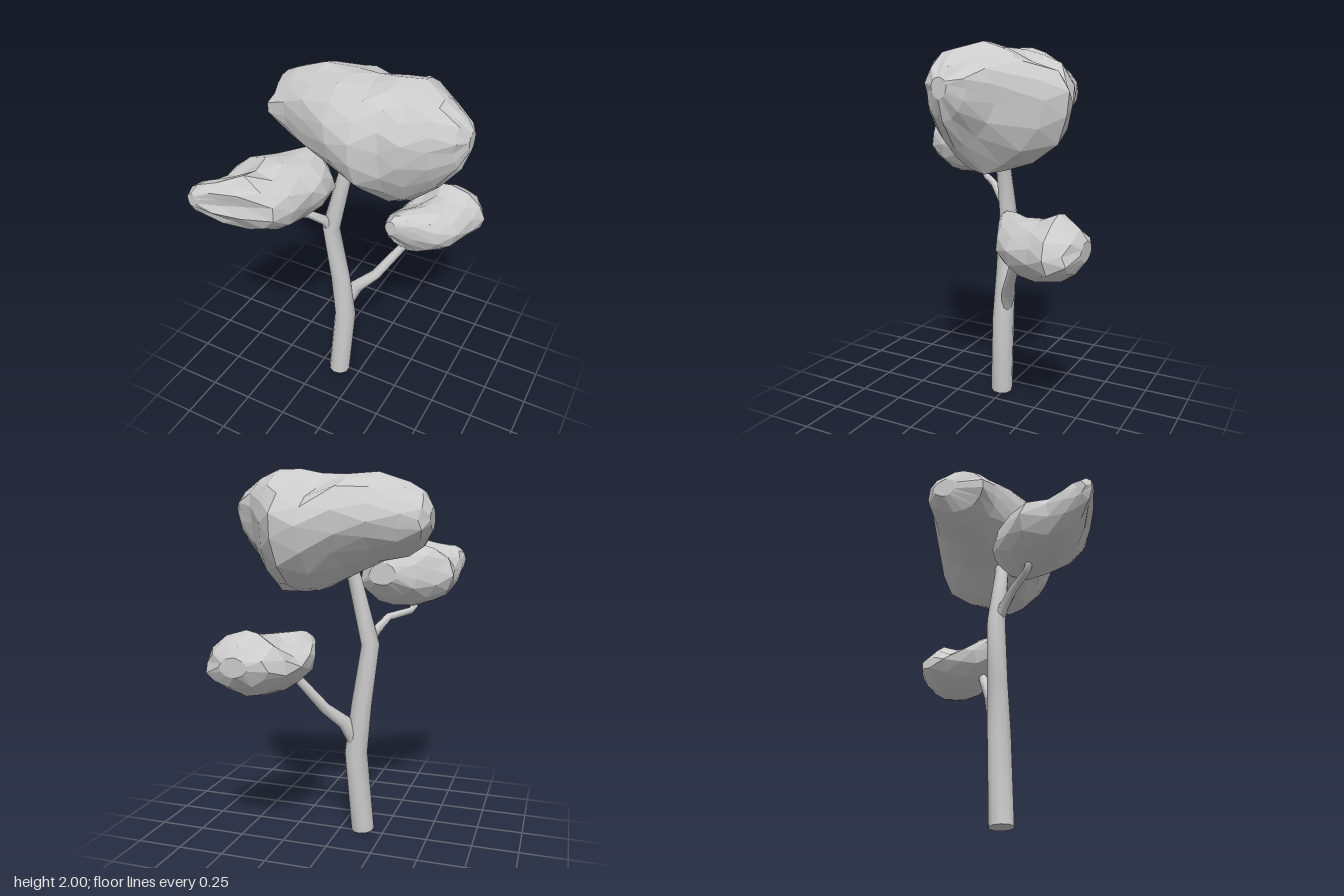
import * as THREE from 'three';
import { toCreasedNormals } from 'three/addons/utils/BufferGeometryUtils.js';

const barkMaterial = new THREE.MeshStandardMaterial({ color: 0xcccccc });
const leafMaterial = new THREE.MeshStandardMaterial({ color: 0xcccccc, flatShading: true });

// Repeatable noise in -1..1
function noise(n) {
  const s = Math.sin(n * 127.1 + 11.7) * 43758.5453;
  return (s - Math.floor(s)) * 2 - 1;
}

// Skins a list of equal rings and closes both ends
function skin(rings) {
  const n = rings[0].length;
  const last = rings.length - 1;
  const centre = (ring) => ring.reduce((sum, p) => sum.add(p), new THREE.Vector3()).divideScalar(n);
  const points = [...rings.flat(), centre(rings[0]), centre(rings[last])];
  const startPole = points.length - 2;
  const endPole = points.length - 1;
  const index = [];
  for (let j = 0; j < n; j++) {
    const k = (j + 1) % n;
    for (let i = 0; i < last; i++) {
      const a = i * n + j, b = i * n + k, c = a + n, d = b + n;
      if (i % 2) index.push(a, b, d, a, d, c);
      else index.push(a, b, c, b, d, c);
    }
    index.push(startPole, k, j, endPole, last * n + j, last * n + k);
  }
  const geometry = new THREE.BufferGeometry().setFromPoints(points);
  geometry.setIndex(index);
  geometry.computeVertexNormals();
  return geometry;
}

// Tapering limb through stations [x, y, z, radius]
function limb(name, stations, sides) {
  const path = stations.map(([x, y, z]) => new THREE.Vector3(x, y, z));
  const rings = stations.map(([, , , r], i) => {
    const before = path[Math.max(i - 1, 0)];
    const after = path[Math.min(i + 1, path.length - 1)];
    const t = after.clone().sub(before).normalize();
    const u = new THREE.Vector3(0.3, 0, 1).cross(t).normalize();
    const v = t.clone().cross(u);
    return Array.from({ length: sides }, (_, j) => {
      const angle = (j / sides) * Math.PI * 2;
      return path[i].clone()
        .addScaledVector(u, r * Math.cos(angle))
        .addScaledVector(v, r * Math.sin(angle));
    });
  });
  const mesh = new THREE.Mesh(toCreasedNormals(skin(rings), 1), barkMaterial);
  mesh.name = name;
  return mesh;
}

// Leaf mass from cross-sections along x or z:
// [position, side min, side max, side centre, bottom, top, centre height]
// pinch: powers above 1 make the min and max sides more pointed
// bumps: [x, z, height, radius] raise or dent the upper surface
function foliage(name, axis, sections, { seed, sides, pinch, bumps }) {
  const rings = sections.map(([s, min, max, mid, bottom, top, cy], i) =>
    Array.from({ length: sides }, (_, j) => {
      const angle = ((j + (i % 2) * 0.5) / sides) * Math.PI * 2 * (axis === 'x' ? -1 : 1);
      const c = Math.cos(angle), h = Math.sin(angle);
      const id = seed + i * 31 + j * 7;
      const size = 1 + 0.035 * noise(id);
      const reach = c > 0 ? Math.pow(c, pinch[1]) * (max - mid) : -Math.pow(-c, pinch[0]) * (mid - min);
      const side = mid + size * reach;
      const y = cy + h * size * (h > 0 ? top - cy : cy - bottom);
      const end = i === 0 || i === sections.length - 1;
      const along = s + (end ? 0 : 0.016 * noise(id + 500));
      const p = axis === 'x' ? new THREE.Vector3(along, y, side) : new THREE.Vector3(side, y, along);
      if (h > 0) {
        for (const [bx, bz, height, radius] of bumps) {
          const d = Math.hypot(p.x - bx, p.z - bz) / radius;
          p.y += height * Math.exp(-d * d);
        }
      }
      p.y = Math.min(2, p.y);
      return p;
    }));
  const mesh = new THREE.Mesh(skin(rings), leafMaterial);
  mesh.name = name;
  return mesh;
}

export function createModel() {
  const tree = new THREE.Group();
  tree.name = 'tree';

  // Trunk and its two side branches
  tree.add(limb('trunk', [
    [-0.129, 0.008, 0.021, 0.064],
    [-0.095, 0.47, -0.005, 0.063],
    [-0.125, 0.75, -0.005, 0.056],
    [-0.17, 1.08, 0.004, 0.05],
    [-0.085, 1.42, 0, 0.038],
    [-0.05, 1.56, -0.02, 0.03],
  ], 10));
  tree.add(limb('rightBranch', [
    [-0.085, 0.54, -0.03, 0.03],
    [-0.045, 0.655, -0.062, 0.04],
    [0.05, 0.74, -0.115, 0.031],
    [0.17, 0.92, -0.21, 0.025],
    [0.23, 1.0, -0.27, 0.02],
  ], 7));
  tree.add(limb('leftBranch', [
    [-0.165, 1.08, 0.015, 0.028],
    [-0.185, 1.15, 0.05, 0.028],
    [-0.24, 1.22, 0.13, 0.022],
    [-0.34, 1.245, 0.235, 0.02],
    [-0.355, 1.27, 0.25, 0.02],
    [-0.355, 1.36, 0.26, 0.016],
  ], 7));

  // Leaf masses
  tree.add(foliage('crownFoliage', 'x', [
    [-0.525, -0.23, -0.1, -0.16, 1.69, 1.8, 1.75],
    [-0.48, -0.28, 0.05, -0.12, 1.61, 1.88, 1.74],
    [-0.38, -0.31, 0.08, -0.1, 1.56, 1.93, 1.73],
    [-0.24, -0.36, 0.14, -0.09, 1.53, 1.97, 1.73],
    [-0.08, -0.41, 0.22, -0.08, 1.46, 1.98, 1.72],
    [0.07, -0.46, 0.24, -0.09, 1.37, 1.98, 1.71],
    [0.19, -0.505, 0.19, -0.09, 1.35, 2.0, 1.72],
    [0.29, -0.4, 0.175, -0.08, 1.37, 2.0, 1.73],
    [0.42, -0.21, 0.15, -0.02, 1.51, 1.97, 1.77],
    [0.52, -0.12, 0.09, 0, 1.64, 1.9, 1.79],
    [0.57, -0.05, 0.03, -0.01, 1.74, 1.84, 1.8],
  ], { seed: 3, sides: 17, pinch: [1.35, 1], bumps: [[0.1, -0.26, -0.08, 0.11], [-0.07, -0.33, 0.05, 0.08]] }));
  tree.add(foliage('leftFoliage', 'z', [
    [0.03, -0.3, -0.15, -0.22, 1.4, 1.52, 1.45],
    [0.09, -0.4, -0.09, -0.24, 1.32, 1.59, 1.43],
    [0.19, -0.49, -0.075, -0.27, 1.27, 1.61, 1.43],
    [0.29, -0.56, -0.1, -0.32, 1.265, 1.62, 1.44],
    [0.41, -0.555, -0.13, -0.35, 1.265, 1.61, 1.44],
    [0.5, -0.575, -0.18, -0.4, 1.31, 1.6, 1.46],
    [0.56, -0.578, -0.31, -0.45, 1.37, 1.6, 1.49],
    [0.61, -0.58, -0.43, -0.51, 1.43, 1.59, 1.51],
    [0.645, -0.565, -0.52, -0.545, 1.48, 1.55, 1.52],
  ], { seed: 40, sides: 13, pinch: [1, 1.2], bumps: [[-0.335, 0.51, 0.04, 0.07], [-0.44, 0.41, -0.05, 0.08]] }));
  tree.add(foliage('rightFoliage', 'z', [
    [-0.645, 0.25, 0.4, 0.32, 1.0, 1.1, 1.05],
    [-0.6, 0.16, 0.5, 0.32, 0.94, 1.15, 1.03],
    [-0.51, 0.1, 0.54, 0.3, 0.885, 1.21, 1.04],
    [-0.41, 0.07, 0.5, 0.28, 0.865, 1.19, 1.04],
    [-0.3, 0.06, 0.45, 0.25, 0.86, 1.18, 1.04],
    [-0.21, 0.06, 0.38, 0.2, 0.89, 1.17, 1.05],
    [-0.15, 0.08, 0.27, 0.16, 0.98, 1.165, 1.08],
    [-0.11, 0.1, 0.17, 0.13, 1.05, 1.14, 1.1],
  ], { seed: 90, sides: 13, pinch: [1.5, 1.2], bumps: [[0.17, -0.38, -0.06, 0.09]] }));

  return tree;
}
